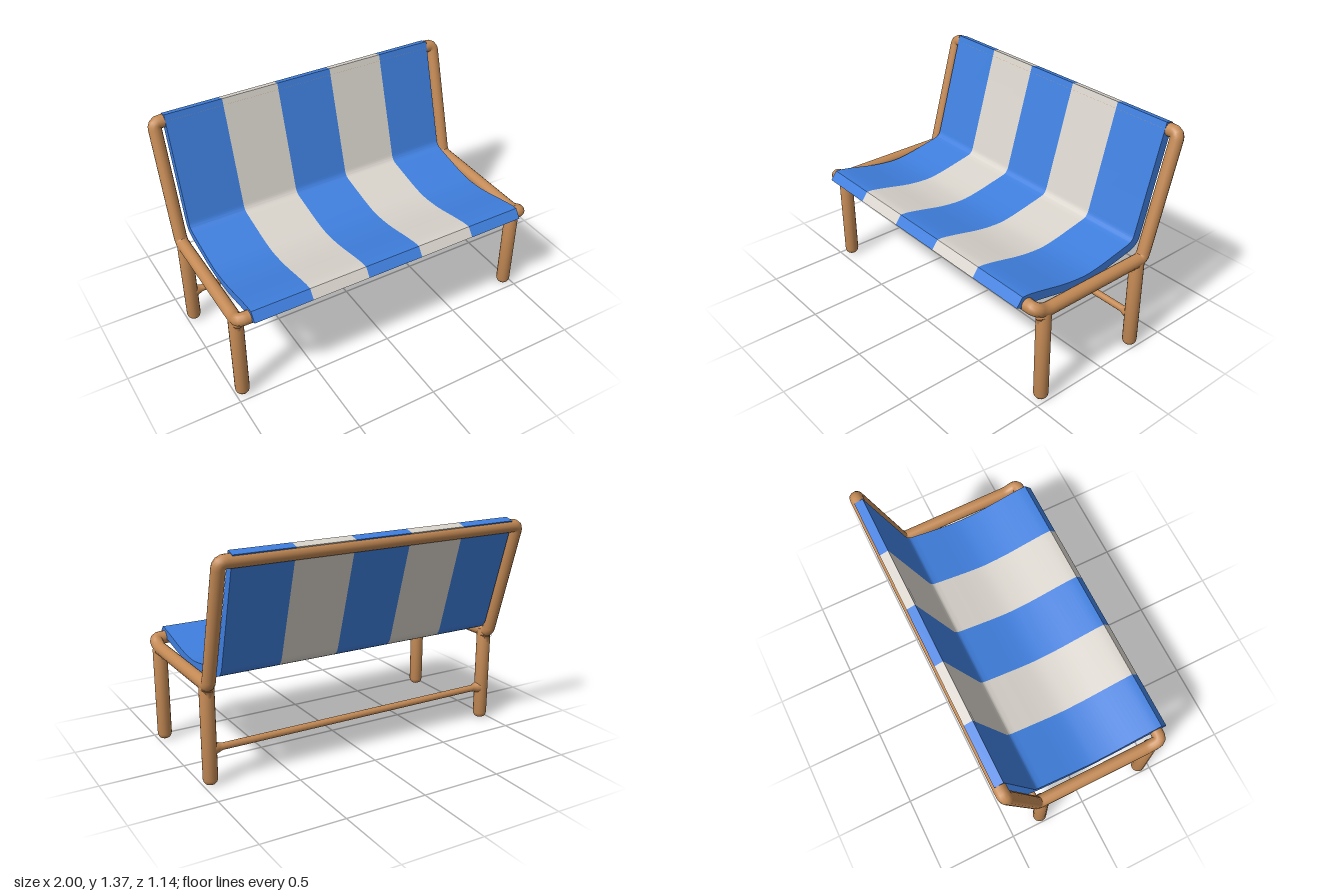
import * as THREE from 'three';
import { toCreasedNormals } from 'three/addons/utils/BufferGeometryUtils.js';

const V = (x, y, z) => new THREE.Vector3(x, y, z);
const P = (x, y) => new THREE.Vector2(x, y);

// Closed path through corner points, each corner rounded by a small bend
function roundedLoop(points, bend) {
  const path = new THREE.CurvePath();
  const n = points.length;
  const toward = (a, b) => a.clone().add(b.clone().sub(a).setLength(bend));
  for (let i = 0; i < n; i++) {
    const prev = points[(i + n - 1) % n], p = points[i], next = points[(i + 1) % n];
    path.add(new THREE.QuadraticBezierCurve3(toward(p, prev), p, toward(p, next)));
    path.add(new THREE.LineCurve3(toward(p, next), toward(next, p)));
  }
  return path;
}

export function createModel() {
  const model = new THREE.Group();
  model.name = 'bench';
  const material = (name, color) => {
    const m = new THREE.MeshStandardMaterial({ color });
    m.name = name;
    return m;
  };
  const wood = material('wood', 0xc48a55);
  const blue = material('blueFabric', 0x3f7fde);
  const cream = material('creamFabric', 0xd9d4cc);
  const add = (name, geometry, mat, x = 0, y = 0, z = 0) => {
    const mesh = new THREE.Mesh(geometry, mat);
    mesh.name = name;
    mesh.position.set(x, y, z);
    model.add(mesh);
    return mesh;
  };

  // Continuous round frame: front rail, side rails, sloping posts, top rail
  const X = 0.958;
  const side = [[0.632, 0.5], [0.595, 0.43], [0.595, -0.325], [1.316, -0.531]];
  const corners = [
    ...side.map(([y, z]) => V(X, y, z)),
    ...side.slice().reverse().map(([y, z]) => V(-X, y, z)),
  ];
  add('frame', new THREE.TubeGeometry(roundedLoop(corners, 0.035), 480, 0.039, 14, true), wood);

  // Legs with rounded feet, flaring lengthwise into the side rails
  const legProfile = [
    P(0, 0), P(0.018, 0.002), P(0.031, 0.009), P(0.039, 0.02),
    P(0.043, 0.035), P(0.043, 0.58), P(0.036, 0.61), P(0, 0.615),
  ];
  const legGeometry = toCreasedNormals(new THREE.LatheGeometry(legProfile, 20), 0.8);
  const flareProfile = [P(0.043, -0.05), P(0.047, -0.028), P(0.056, -0.01), P(0.07, 0)];
  const flareGeometry = new THREE.LatheGeometry(flareProfile, 20);
  for (const s of [1, -1]) {
    for (const [label, z] of [['front', 0.433], ['back', -0.29]]) {
      const name = label + (s > 0 ? 'Left' : 'Right');
      add(name + 'Leg', legGeometry, wood, s * 0.955, 0, z);
      add(name + 'LegFlare', flareGeometry, wood, s * 0.955, 0.575, z).scale.x = 0.62;
    }
  }

  // Thin stretcher between the back legs, flared at both ends
  const half = 0.93;
  const barProfile = [
    P(0.038, -half), P(0.03, -half + 0.025), P(0.021, -half + 0.05),
    P(0.021, half - 0.05), P(0.03, half - 0.025), P(0.038, half),
  ];
  const bar = new THREE.LatheGeometry(barProfile, 14);
  bar.rotateZ(Math.PI / 2);
  add('stretcher', bar, wood, 0, 0.212, -0.29);

  // Sling cross-section (z, y): sagging seat, bend and straight back
  const sling = new THREE.Shape();
  sling.moveTo(0.57, 0.638);
  sling.lineTo(0.53, 0.691);
  sling.splineThru([
    P(0.48, 0.687), P(0.38, 0.667), P(0.25, 0.638), P(0.15, 0.623),
    P(0.05, 0.618), P(-0.05, 0.63), P(-0.16, 0.652), P(-0.27, 0.675),
  ]);
  sling.splineThru([P(-0.295, 0.685), P(-0.312, 0.706), P(-0.322, 0.735)]);
  sling.lineTo(-0.505, 1.366);
  sling.lineTo(-0.558, 1.351);
  sling.lineTo(-0.374, 0.715);
  sling.splineThru([P(-0.36, 0.675), P(-0.335, 0.646), P(-0.29, 0.625)]);
  sling.splineThru([
    P(-0.16, 0.599), P(-0.05, 0.58), P(0.05, 0.574), P(0.15, 0.576),
    P(0.26, 0.589), P(0.38, 0.612), P(0.46, 0.624), P(0.52, 0.612),
  ]);
  sling.closePath();

  // Five equal fabric stripes
  const left = -0.9, width = 0.359;
  for (let i = 0; i < 5; i++) {
    let stripe = new THREE.ExtrudeGeometry(sling, { depth: width, bevelEnabled: false, curveSegments: 4 });
    stripe.rotateY(-Math.PI / 2);
    stripe = toCreasedNormals(stripe, 0.45);
    add('fabricStripe' + (i + 1), stripe, i % 2 ? cream : blue, left + width * (i + 1), 0, 0);
  }
  return model;
}
